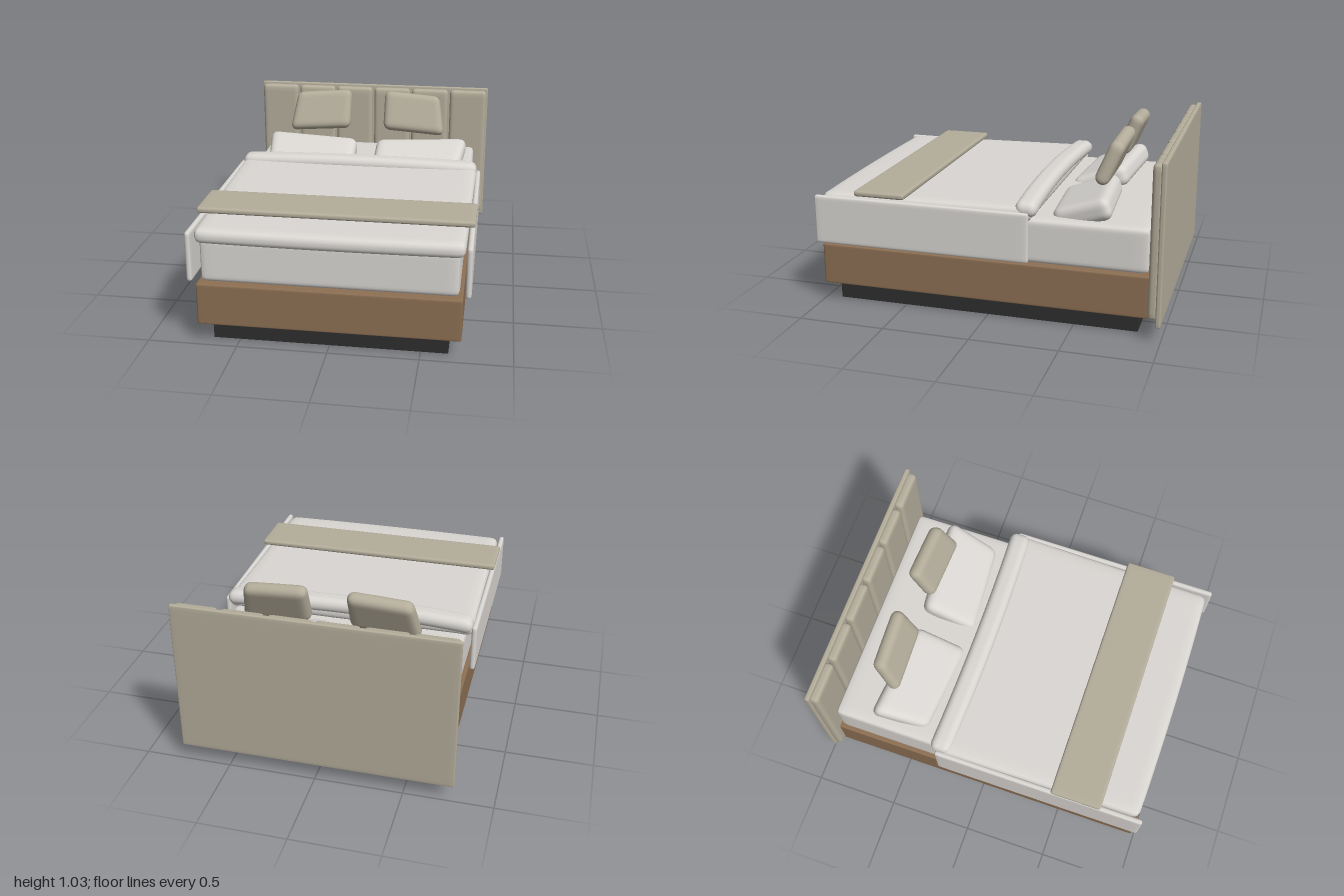
import * as THREE from 'three';
import { mergeVertices } from 'three/addons/utils/BufferGeometryUtils.js';

const mat = (name, color) => {
  const m = new THREE.MeshStandardMaterial({ color });
  m.name = name;
  return m;
};

// Rounded box with a fine grid near its edges, optionally bent by a rule
function softBox(w, h, d, r, warp, n = 20) {
  const half = [w / 2, h / 2, d / 2];
  let geo = new THREE.BoxGeometry(2, 2, 2, n, n, n);
  geo.deleteAttribute('uv');
  geo.deleteAttribute('normal');
  geo = mergeVertices(geo);
  const pos = geo.attributes.position;
  const p = new THREE.Vector3(), core = new THREE.Vector3();
  for (let i = 0; i < pos.count; i++) {
    p.fromBufferAttribute(pos, i);
    for (let k = 0; k < 3; k++) {
      const v = Math.sin(p.getComponent(k) * Math.PI / 2) * half[k];
      p.setComponent(k, v);
      core.setComponent(k, THREE.MathUtils.clamp(v, r - half[k], half[k] - r));
    }
    p.sub(core).setLength(r).add(core);
    if (warp) warp(p);
    pos.setXYZ(i, p.x, p.y, p.z);
  }
  geo.computeVertexNormals();
  return geo;
}

export function createModel() {
  const bed = new THREE.Group();
  bed.name = 'bed';
  const linen = mat('white linen', 0xdad7d3);
  const beige = mat('beige fabric', 0xb4ad9b);
  const wood = mat('brown wood', 0x8d7054);
  const dark = mat('dark plinth', 0x2e2e2e);

  const add = (name, geo, material, x, y, z) => {
    const mesh = new THREE.Mesh(geo, material);
    mesh.name = name;
    mesh.position.set(x, y, z);
    bed.add(mesh);
    return mesh;
  };

  // Base
  add('plinth', new THREE.BoxGeometry(1.3, 0.12, 1.77), dark, 0, 0.06, 0.025);
  add('bedFrame', softBox(1.44, 0.24, 1.91, 0.008), wood, 0, 0.232, 0.025);
  add('mattress', softBox(1.4, 0.256, 1.865, 0.03), linen, 0, 0.482, 0.018);

  // Headboard with six padded panels
  add('headboard', softBox(1.56, 0.91, 0.03, 0.01), beige, 0, 0.545, -0.985);
  for (let i = 0; i < 6; i++) {
    add('headboardPanel', softBox(0.245, 0.86, 0.06, 0.024), beige, (i - 2.5) * 0.259, 0.557, -0.953);
  }

  // Duvet, a little wider and higher toward the head
  add('duvet', softBox(1.48, 0.088, 1.24, 0.04, (p) => {
    const t = (1 - p.z / 0.62) / 2;
    p.z += 0.012 * (1 - (p.x / 0.74) ** 2) * (1 - t);
    p.x *= 0.978 + 0.022 * t;
    p.y += 0.018 * t;
  }), linen, 0, 0.621, 0.35);

  // Folded-back edge, bowed forward and upward in the middle
  add('duvetFold', softBox(1.475, 0.09, 0.125, 0.044, (p) => {
    const bow = 1 - (p.x / 0.7375) ** 2;
    p.z += 0.02 * bow;
    p.y += 0.02 * bow;
  }), linen, 0, 0.665, -0.24);

  add('bedRunner', softBox(1.53, 0.034, 0.3, 0.014), beige, 0, 0.688, 0.6);

  for (const s of [-1, 1]) {
    // Hanging duvet side
    add('duvetSide', softBox(0.032, 0.285, 1.26, 0.015), linen, s * 0.747, 0.515, 0.368);

    // Sleeping pillow, leaning back and narrower toward the front
    const pillow = add('pillow', softBox(0.595, 0.13, 0.34, 0.05, (p) => {
      const out = p.x * s;
      p.x -= s * 0.022 * (1 + p.z / 0.17) * Math.max(0, out / 0.297);
      p.z -= 0.08 * out;
    }), linen, s * 0.362, 0.625, -0.507);
    pillow.rotation.x = 0.35;

    // Decorative cushion, its outer side drooping
    const cushion = add('cushion', softBox(0.4, 0.255, 0.085, 0.042, (p) => {
      const out = p.x * s;
      p.x -= s * 0.02 * (1 + p.y / 0.127) * Math.max(0, out / 0.2);
      p.y -= 0.07 * out;
    }), beige, s * 0.31, 0.9, -0.647);
    cushion.rotation.x = -0.4;
  }
  return bed;
}
